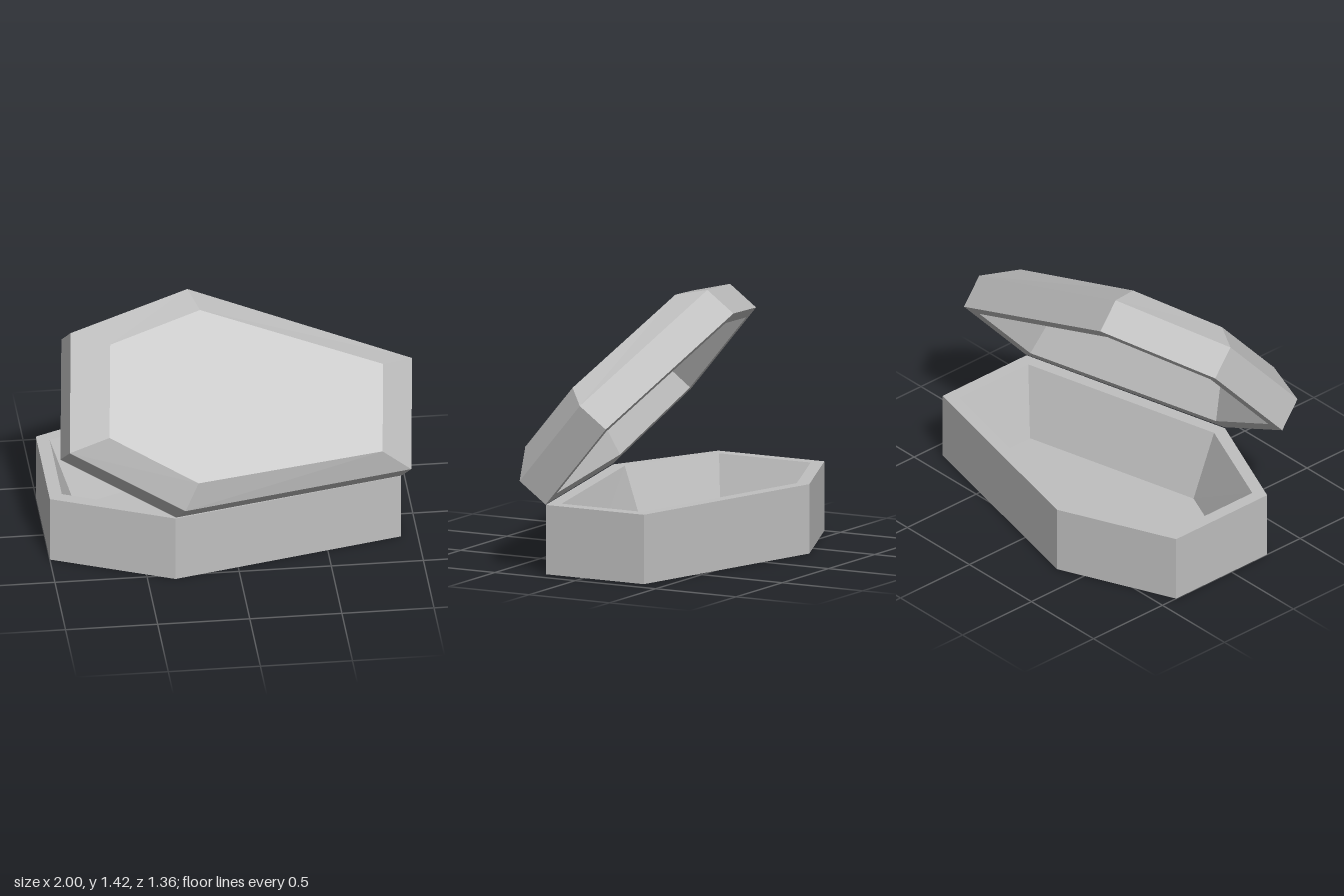
import * as THREE from 'three';

// Six-sided ring: [position along length, half width] at head, shoulder and foot, at height n
function ring(n, [head, shoulder, foot]) {
  const low = [head, shoulder, foot].map(([u, h]) => [u, -h, n]);
  const high = [foot, shoulder, head].map(([u, h]) => [u, h, n]);
  return [...low, ...high];
}

// Joins consecutive rings with quads and closes both ends
function loft(rings) {
  const pos = [];
  const tri = (a, b, c) => pos.push(...a, ...b, ...c);
  for (let k = 0; k < rings.length - 1; k++) {
    const a = rings[k], b = rings[k + 1];
    for (let i = 0; i < 6; i++) {
      const j = (i + 1) % 6;
      tri(a[i], a[j], b[j]);
      tri(a[i], b[j], b[i]);
    }
  }
  const first = rings[0], last = rings[rings.length - 1];
  for (let i = 1; i < 5; i++) {
    tri(first[0], first[i + 1], first[i]);
    tri(last[0], last[i], last[i + 1]);
  }
  const geometry = new THREE.BufferGeometry();
  geometry.setAttribute('position', new THREE.Float32BufferAttribute(pos, 3));
  geometry.computeVertexNormals();
  return geometry;
}

// Places a part by its length, width and height axes
function place(mesh, u, v, origin) {
  const x = new THREE.Vector3(...u).normalize();
  const n = new THREE.Vector3().crossVectors(x, new THREE.Vector3(...v)).normalize();
  const y = new THREE.Vector3().crossVectors(n, x);
  mesh.quaternion.setFromRotationMatrix(new THREE.Matrix4().makeBasis(x, y, n));
  mesh.position.set(...origin);
}

export function createModel() {
  const group = new THREE.Group();
  group.name = 'openCoffin';
  const grey = new THREE.MeshStandardMaterial({ color: 0xc0c0c0, flatShading: true });
  grey.name = 'stoneGrey';

  const outer = [[-0.65, 0.33], [0, 0.61], [1.26, 0.305]];
  const innerRim = [[-0.58, 0.285], [0.005, 0.535], [1.185, 0.25]];
  const innerFloor = [[-0.45, 0.2], [0.02, 0.4], [1.06, 0.15]];
  const lidTop = [[-0.46, 0.256], [0.04, 0.476], [1.067, 0.24]];

  // Hollow box with tapering inside walls
  const box = new THREE.Mesh(loft([
    ring(0, outer), ring(0.38, outer), ring(0.38, innerRim), ring(0.01, innerFloor),
  ]), grey);
  box.name = 'coffinBox';
  place(box, [1, 0, 0], [0, 0, -1], [-0.35, 0, -0.07]);

  // Hollow bevelled lid, propped open along the front edge
  const lid = new THREE.Mesh(loft([
    ring(0.28, innerFloor), ring(0, innerRim), ring(0, outer), ring(0.19, outer), ring(0.305, lidTop),
  ]), grey);
  lid.name = 'coffinLid';
  place(lid, [0.98, -0.183, -0.0815], [0.09, 0.744, -0.662], [-0.295, 0.84, 0.135]);

  group.add(box, lid);
  return group;
}
